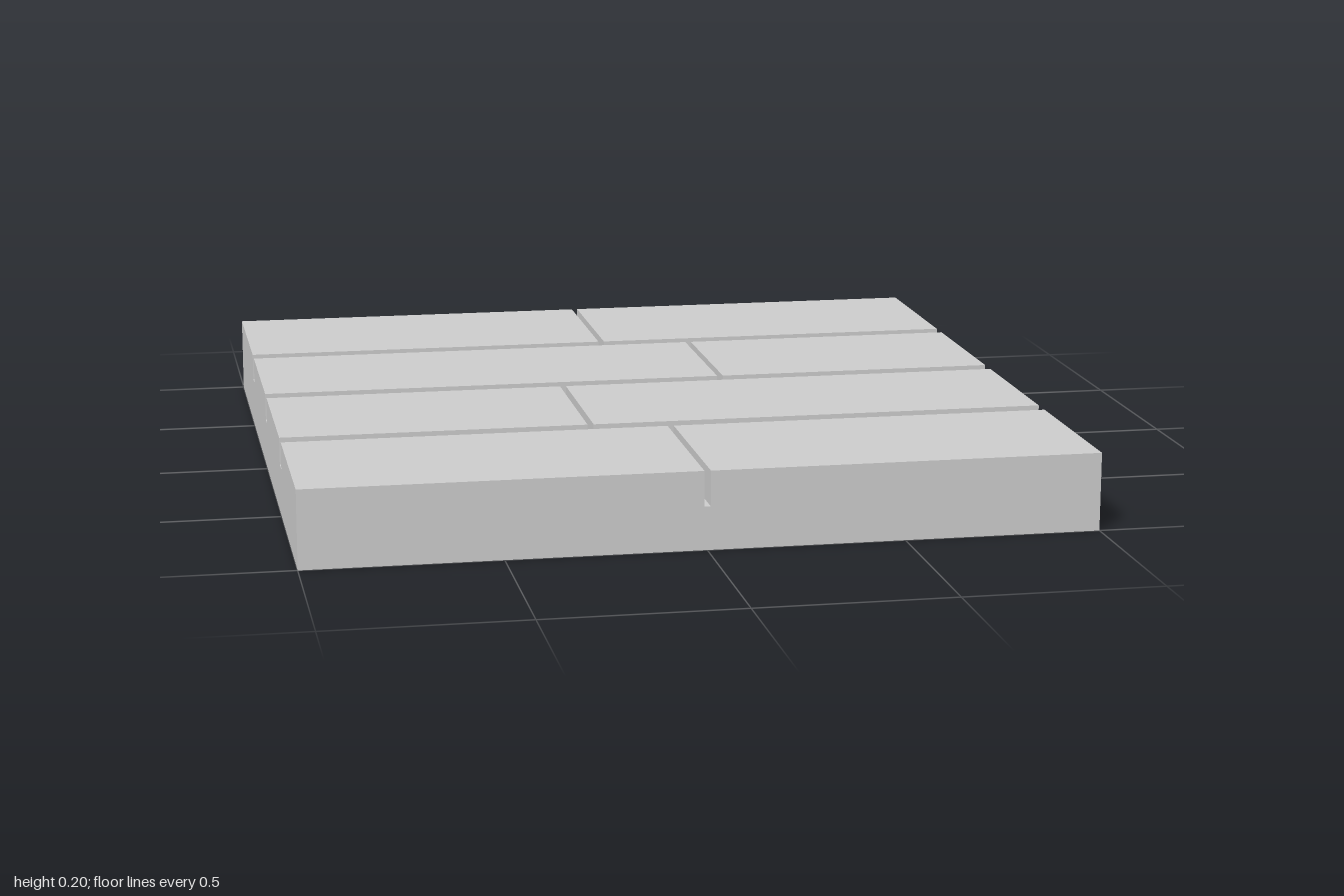
import * as THREE from 'three';

const HALF = 1, HEIGHT = 0.2;
const GROOVE_FLOOR = 0.13, GROOVE_HALF = 0.025;
const SLIT_FLOOR = 0.11, SLIT_HALF = 0.008;
const material = new THREE.MeshStandardMaterial({ color: 0xcccccc, flatShading: true });

// A row of two planks: its cross-section, notched by the joint at x, runs from z0 to z1
function plankRow(jointX, z0, z1) {
  const shape = new THREE.Shape([
    [-HALF, 0], [HALF, 0], [HALF, HEIGHT],
    [jointX + SLIT_HALF, HEIGHT], [jointX + SLIT_HALF, SLIT_FLOOR],
    [jointX - SLIT_HALF, SLIT_FLOOR], [jointX - SLIT_HALF, HEIGHT],
    [-HALF, HEIGHT],
  ].map(([x, y]) => new THREE.Vector2(x, y)));
  const geometry = new THREE.ExtrudeGeometry(shape, { depth: z1 - z0, bevelEnabled: false });
  geometry.translate(0, 0, z0);
  return new THREE.Mesh(geometry, material);
}

export function createModel() {
  const group = new THREE.Group();
  group.name = 'plankFloorTile';

  // Four rows from back to front with staggered joints
  const joints = [0, 0.245, -0.2, 0];
  joints.forEach((x, i) => {
    const back = -HALF + i * 0.5, front = back + 0.5;
    const z0 = i === 0 ? back : back + GROOVE_HALF;
    const z1 = i === joints.length - 1 ? front : front - GROOVE_HALF;
    const row = plankRow(x, z0, z1);
    row.name = `plankRow${i + 1}`;
    group.add(row);
  });

  // Lower strips that form the floors of the wide grooves
  [-0.5, 0, 0.5].forEach((z, i) => {
    const strip = new THREE.Mesh(
      new THREE.BoxGeometry(2 * HALF, GROOVE_FLOOR, 2 * GROOVE_HALF), material);
    strip.position.set(0, GROOVE_FLOOR / 2, z);
    strip.name = `grooveFloor${i + 1}`;
    group.add(strip);
  });

  return group;
}
